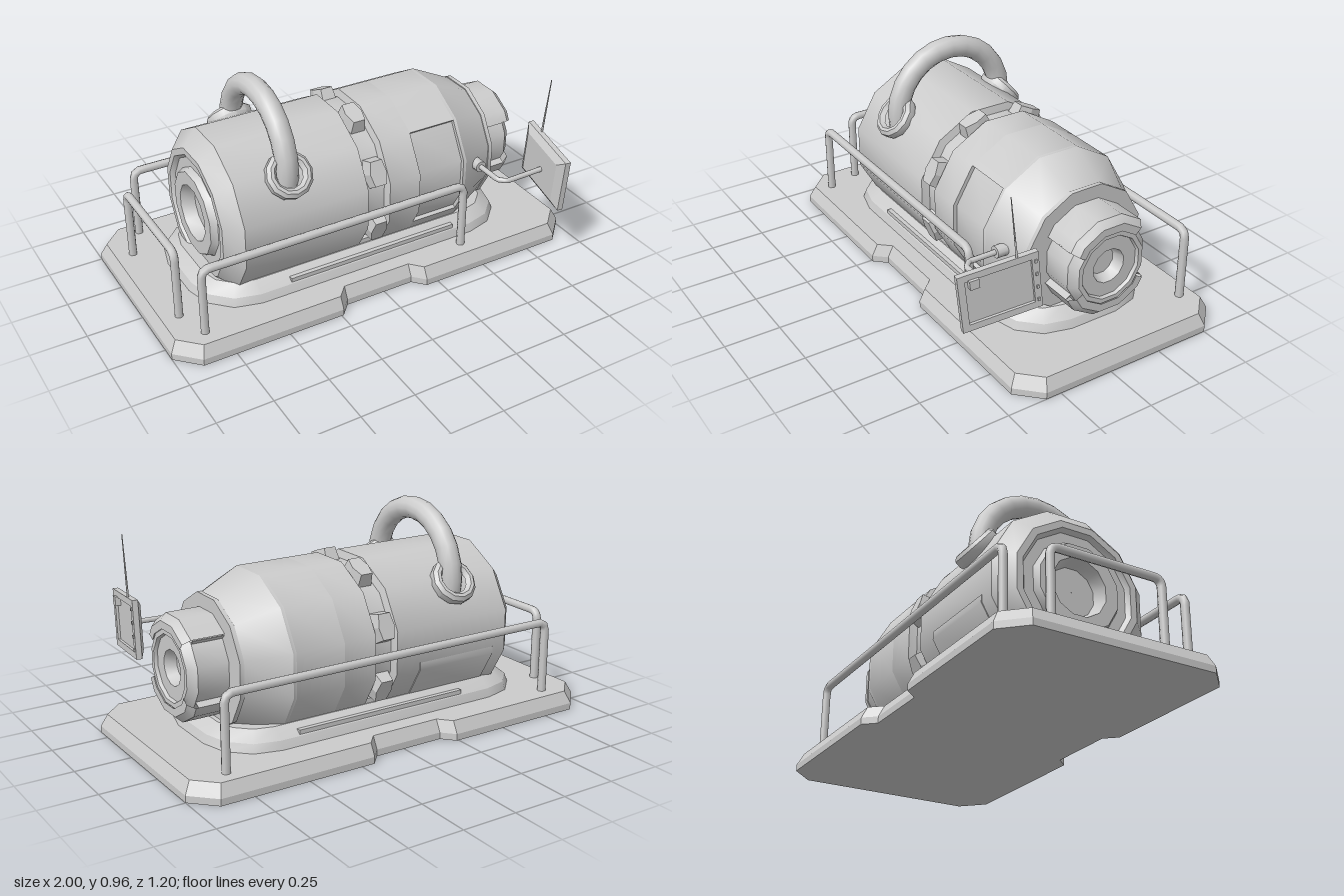
import * as THREE from 'three';
import { toCreasedNormals, mergeGeometries } from 'three/addons/utils/BufferGeometryUtils.js';

const mat = new THREE.MeshStandardMaterial({ color: 0xcccccc, side: THREE.DoubleSide });
const CY = 0.39, CZ = -0.088; // tank axis
const rad = THREE.MathUtils.degToRad;

function add(parent, name, geo, x = 0, y = 0, z = 0) {
  const m = new THREE.Mesh(geo, mat);
  m.name = name;
  m.position.set(x, y, z);
  parent.add(m);
  return m;
}

function fromQuads(quads, crease = 0.6) {
  const pos = [];
  for (const [a, b, c, d] of quads) pos.push(...a, ...b, ...c, ...a, ...c, ...d);
  const g = new THREE.BufferGeometry();
  g.setAttribute('position', new THREE.Float32BufferAttribute(pos, 3));
  return toCreasedNormals(g, crease);
}

// Twelve-sided shell about the x axis from [x, radius] points; angles in degrees from up towards +z
function shell(profile, a0 = 15, a1 = 375) {
  const angles = [a0];
  for (let a = -345; a < 720; a += 30) if (a > a0 && a < a1) angles.push(a);
  angles.push(a1);
  const point = ([x, r], a) => {
    const off = (((a % 30) + 45) % 30) - 15; // angle from the middle of the facet
    const k = r * Math.cos(rad(15)) / Math.cos(rad(off));
    return [x, k * Math.cos(rad(a)), k * Math.sin(rad(a))];
  };
  const quads = [];
  for (let i = 0; i < profile.length - 1; i++)
    for (let j = 0; j < angles.length - 1; j++)
      quads.push([point(profile[i], angles[j]), point(profile[i], angles[j + 1]),
        point(profile[i + 1], angles[j + 1]), point(profile[i + 1], angles[j])]);
  return fromQuads(quads);
}

// Solid lofted through outlines at rising heights, closed above and below
function loft(outline, levels, crease) {
  const rings = levels.map(([y, inset]) => outline(inset).map(([x, z]) => [x, y, z]));
  const quads = [], n = rings[0].length;
  for (let k = 0; k < rings.length - 1; k++)
    for (let i = 0; i < n; i++) {
      const j = (i + 1) % n;
      quads.push([rings[k][i], rings[k + 1][i], rings[k + 1][j], rings[k][j]]);
    }
  const side = fromQuads(quads, crease);
  const caps = [0, levels.length - 1].map((k) => {
    const s = new THREE.Shape(rings[k].map(([x, , z]) => new THREE.Vector2(x, -z)));
    const g = new THREE.ShapeGeometry(s).toNonIndexed();
    g.deleteAttribute('uv');
    if (k === 0) g.scale(1, -1, 1).rotateX(Math.PI / 2);
    else g.rotateX(-Math.PI / 2);
    return g.translate(0, levels[k][0], 0);
  });
  return mergeGeometries([side, ...caps]);
}

// Base plate outline: clipped corners and a shallow notch in each long edge
function baseOutline(i) {
  const x = 1 - i, z = 0.51 - i, c = 0.1 - i * 0.4;
  const half = [[-x, z - c], [-x + c, z], [-0.24, z], [-0.19, z - 0.055],
    [0.14, z - 0.055], [0.19, z], [x - c, z], [x, z - c]];
  const back = half.map(([px, pz]) => [px, -pz]).reverse();
  return [...half, ...back].map(([px, pz]) => [px, pz - 0.09]).reverse();
}

// Pedestal outline: rectangle with rounded corners
function pedestalOutline(i) {
  const pts = [], r = 0.24 - i;
  for (const [q, sx, sz] of [[0, 1, 1], [90, -1, 1], [180, -1, -1], [270, 1, -1]])
    for (let a = 0; a <= 90; a += 30)
      pts.push([-0.01 + sx * 0.54 + r * Math.cos(rad(q + a)), CZ + sz * 0.115 + r * Math.sin(rad(q + a))]);
  return pts.reverse();
}

// Round handrail with two posts
function rail(parent, name, a, b, top) {
  const A = new THREE.Vector3(a[0], 0.07, a[1]), B = new THREE.Vector3(b[0], 0.07, b[1]);
  const dir = B.clone().sub(A).normalize();
  const at = (p, y, d = 0) => p.clone().addScaledVector(dir, d).setY(y);
  const path = new THREE.CurvePath();
  const pts = [A, at(A, top - 0.04), at(A, top, 0.04), at(B, top, -0.04), at(B, top - 0.04), B];
  path.add(new THREE.LineCurve3(pts[0], pts[1]));
  path.add(new THREE.QuadraticBezierCurve3(pts[1], at(A, top), pts[2]));
  path.add(new THREE.LineCurve3(pts[2], pts[3]));
  path.add(new THREE.QuadraticBezierCurve3(pts[3], at(B, top), pts[4]));
  path.add(new THREE.LineCurve3(pts[4], pts[5]));
  add(parent, name, new THREE.TubeGeometry(path, 90, 0.019, 8));
}

export function createModel() {
  const model = new THREE.Group();

  // Ground plate, pedestal and saddle rails
  add(model, 'basePlate', loft(baseOutline, [[0, 0], [0.03, 0], [0.083, 0.027]], 0.3));
  add(model, 'pedestal', loft(pedestalOutline, [[0.08, 0], [0.12, 0.015], [0.162, 0.07]], 0.55));
  for (const s of [1, -1]) {
    add(model, 'saddleRail', new THREE.BoxGeometry(0.9, 0.06, 0.035), 0, 0.153, CZ + s * 0.262);
    add(model, 'saddleSlat', new THREE.BoxGeometry(0.84, 0.02, 0.02), 0.02, 0.133, CZ + s * 0.325);
  }

  // Tank body
  const tank = new THREE.Group();
  tank.name = 'tank';
  tank.position.set(0, CY, CZ);
  model.add(tank);
  add(tank, 'leftEnd', shell([[-0.64, 0.001], [-0.64, 0.11], [-0.70, 0.13], [-0.70, 0.19],
    [-0.67, 0.205], [-0.67, 0.25], [-0.69, 0.265], [-0.69, 0.295], [-0.62, 0.37]]));
  add(tank, 'leftDrum', shell([[-0.62, 0.37], [-0.03, 0.37], [-0.02, 0.335], [0.07, 0.335], [0.08, 0.37], [0.235, 0.37]]));
  add(tank, 'rightDrum', shell([[0.235, 0.37], [0.465, 0.37]], 120, 405));
  add(tank, 'shoulder', shell([[0.465, 0.37], [0.48, 0.37]]));
  add(tank, 'shoulderCone', shell([[0.48, 0.37], [0.66, 0.285]]));
  add(tank, 'flange', shell([[0.66, 0.28], [0.66, 0.29], [0.68, 0.29], [0.68, 0.19]]));
  add(tank, 'nozzle', shell([[0.68, 0.197], [0.82, 0.197], [0.855, 0.165], [0.855, 0.145],
    [0.84, 0.14], [0.84, 0.078], [0.79, 0.062], [0.79, 0.001]]));

  // Recessed door in the front of the drum
  add(tank, 'door', shell([[0.235, 0.37], [0.235, 0.352], [0.465, 0.352], [0.465, 0.37]], 45, 120));
  for (const a of [45, 120]) {
    const r = a === 45 ? 0.361 : 0.349;
    const wall = add(tank, 'doorSill', new THREE.BoxGeometry(0.23, 0.018, 0.004),
      0.35, r * Math.cos(rad(a)), r * Math.sin(rad(a)));
    wall.rotation.x = rad(a);
  }

  // Low service panel on the rear
  add(tank, 'rearPanel', shell([[-0.55, 0.36], [-0.55, 0.374], [-0.15, 0.374], [-0.15, 0.36]], 228, 260));

  // Curved armour around the nozzle
  for (const [a, b] of [[-45, 58], [118, 238]]) {
    const armour = [[0.68, 0.19], [0.68, 0.228], [0.83, 0.228], [0.86, 0.2], [0.86, 0.165], [0.82, 0.19]];
    add(tank, 'nozzleArmour', shell(armour, a, b));
    for (const e of [a, b]) {
      const end = add(tank, 'armourEnd', new THREE.BoxGeometry(0.14, 0.03, 0.004),
        0.75, 0.206 * Math.cos(rad(e)), 0.206 * Math.sin(rad(e)));
      end.rotation.x = rad(e);
    }
  }

  // Clamps bridging the seam between the drums
  const clampGeo = new THREE.BoxGeometry(0.1, 0.07, 0.13, 1, 1, 2);
  const p = clampGeo.attributes.position;
  for (let i = 0; i < p.count; i++) {
    if (Math.abs(p.getZ(i)) > 0.01) p.setX(i, p.getX(i) * 0.7);
    if (p.getY(i) > 0) p.setXYZ(i, p.getX(i) * 0.8, p.getY(i), p.getZ(i) * 0.85);
  }
  const clampFlat = toCreasedNormals(clampGeo, 0.2);
  for (let k = 0; k < 8; k++) {
    const a = rad(20 + 45 * k);
    add(tank, 'clamp', clampFlat, 0.027, 0.345 * Math.cos(a), 0.345 * Math.sin(a)).rotation.x = a;
  }

  // Arched pipe and its collars
  const arch = [];
  for (let a = -15; a <= 195; a += 15)
    arch.push(new THREE.Vector3(-0.375, 0.25 + 0.27 * Math.sin(rad(a)), 0.27 * Math.cos(rad(a))));
  add(tank, 'archPipe', new THREE.TubeGeometry(new THREE.CatmullRomCurve3(arch), 14, 0.05, 12));
  const collarProfile = [[0.06, 0.01], [0.075, 0.03], [0.09, 0.03], [0.105, 0.015], [0.105, -0.015], [0.085, -0.05]];
  const collar = toCreasedNormals(new THREE.LatheGeometry(collarProfile.map(([r, y]) => new THREE.Vector2(r, y)).reverse(), 12), 0.6);
  for (const s of [1, -1])
    add(tank, 'pipeCollar', collar, -0.375, 0.245, s * 0.285).rotation.x = s * rad(50);

  // Handrails
  rail(model, 'frontRail', [-0.845, 0.32], [0.435, 0.32], 0.395);
  rail(model, 'backRail', [-0.805, -0.505], [0.825, -0.505], 0.41);
  rail(model, 'sideRail', [-0.895, 0.165], [-0.895, -0.355], 0.405);

  // Arm carrying the display
  const arm = new THREE.CurvePath();
  const armPts = [[0.56, 0.43, 0.22], [0.56, 0.43, 0.4], [0.59, 0.43, 0.43], [0.79, 0.435, 0.43]].map((q) => new THREE.Vector3(...q));
  for (let i = 0; i < 3; i++) arm.add(new THREE.LineCurve3(armPts[i], armPts[i + 1]));
  add(model, 'displayArm', new THREE.TubeGeometry(arm, 30, 0.012, 8));
  add(model, 'armSocket', new THREE.CylinderGeometry(0.027, 0.027, 0.05, 10).rotateX(Math.PI / 2), 0.56, 0.43, 0.25);

  // Display: tapered back, framed screen, latch, knobs and aerial
  const display = new THREE.Group();
  display.name = 'display';
  display.position.set(0.808, 0.44, 0.42);
  display.rotation.set(0, rad(81), rad(6), 'YXZ');
  model.add(display);
  const frame = new THREE.Shape([[-0.17, -0.13], [0.17, -0.13], [0.17, 0.13], [-0.17, 0.13]].map((q) => new THREE.Vector2(...q)));
  frame.holes.push(new THREE.Path([[-0.14, -0.1], [-0.14, 0.1], [0.14, 0.1], [0.14, -0.1]].map((q) => new THREE.Vector2(...q))));
  add(display, 'displayFrame', new THREE.ExtrudeGeometry(frame, { depth: 0.025, bevelEnabled: false }), 0, 0, -0.01);
  add(display, 'screen', new THREE.BoxGeometry(0.28, 0.2, 0.012), 0, 0, -0.003);
  const shellBack = new THREE.CylinderGeometry(0.17 * Math.SQRT2, 0.13 * Math.SQRT2, 0.02, 4).rotateY(Math.PI / 4).rotateX(Math.PI / 2);
  add(display, 'displayBack', toCreasedNormals(shellBack, 0.2), 0, 0, -0.02).scale.y = 0.765;
  add(display, 'latch', new THREE.BoxGeometry(0.04, 0.04, 0.025), -0.105, 0.085, 0.015);
  for (let i = 0; i < 4; i++)
    add(display, 'knob', new THREE.BoxGeometry(0.01, 0.014, 0.01), 0.155, -0.09 + 0.06 * i, 0.016);
  const aerial = add(model, 'aerial', new THREE.CylinderGeometry(0.002, 0.005, 0.28, 6), 0.828, 0.711, 0.37);
  aerial.rotation.x = rad(6.5);

  return model;
}
